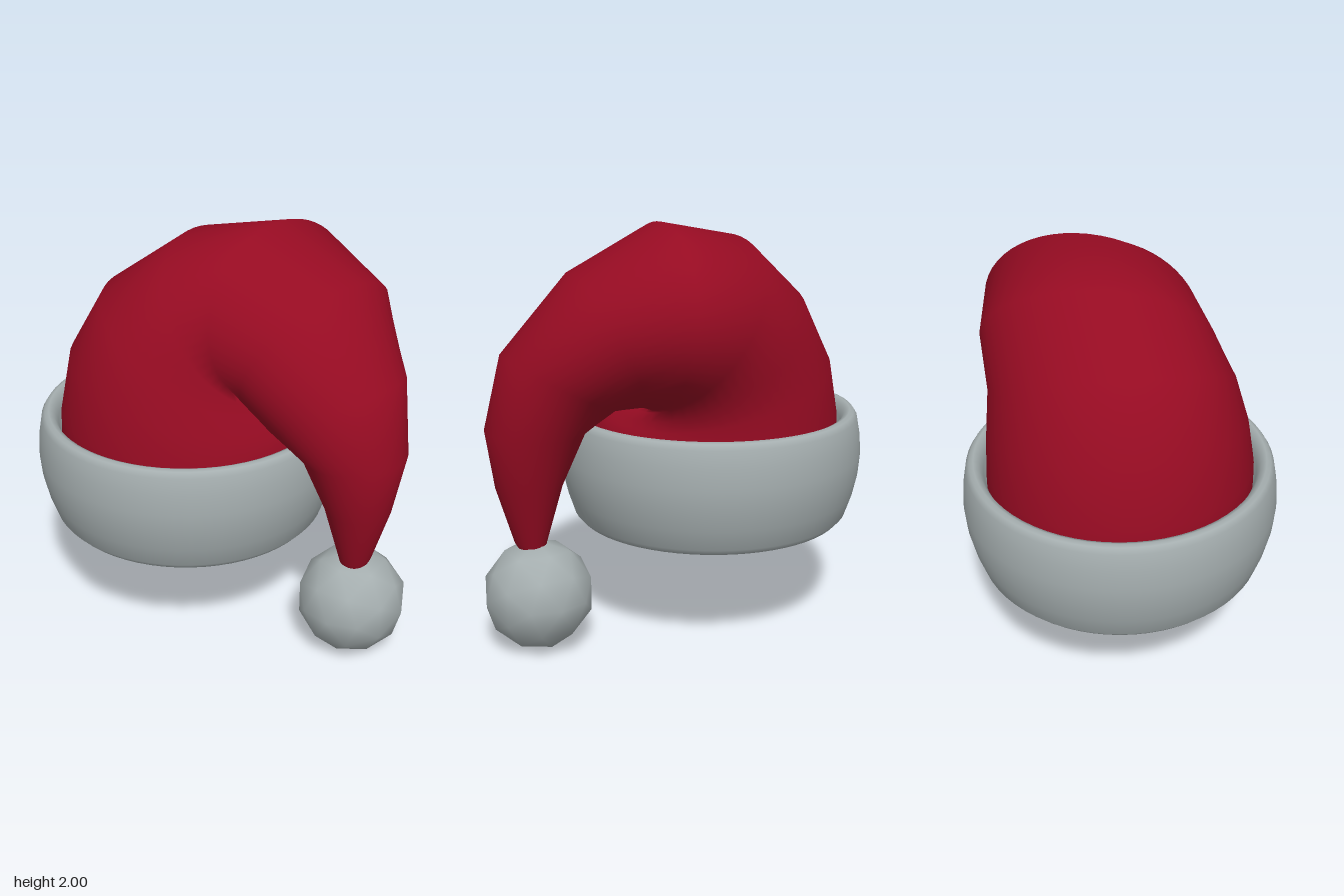
import * as THREE from 'three';

const red = new THREE.MeshStandardMaterial({ color: 0x960b22, side: THREE.DoubleSide });
red.name = 'red cloth';
const grey = new THREE.MeshStandardMaterial({ color: 0xa5aeaf });
grey.name = 'pale fur';

// Cross-sections along the folded cap, from the opening to the tip:
// outer x, y, inner x, y, centre z, half width, sideways skew, upward skew
const RINGS = [
  [-0.84, 0.555, 0.38, 0.555, 0, 0.61, 0, 0],
  [-0.858, 0.95, 0.398, 0.95, 0, 0.628, 0, 0],
  [-0.85, 1.07, 0.385, 1.03, 0, 0.625, 0, 0.02],
  [-0.79, 1.36, 0.36, 1.08, -0.015, 0.605, 0, 0.08],
  [-0.61, 1.67, 0.325, 1.12, -0.05, 0.57, 0, 0.12],
  [-0.27, 1.92, 0.285, 1.15, -0.13, 0.55, 0, 0.05],
  [0.15, 2.0, 0.25, 1.16, -0.18, 0.53, 0.16, 0],
  [0.57, 1.79, 0.25, 1.16, -0.11, 0.45, 0.24, 0],
  [0.86, 1.42, 0.32, 1.13, 0.01, 0.325, 0.15, 0],
  [0.935, 1.07, 0.465, 1.05, 0.035, 0.25, 0.05, 0],
  [0.89, 0.79, 0.58, 0.8, 0.045, 0.165, 0, 0],
  [0.81, 0.52, 0.66, 0.52, 0.045, 0.085, 0, 0],
  [0.78, 0.46, 0.67, 0.46, 0.04, 0.06, 0, 0],
];

// Skin closed loops through the cross-sections
function capGeometry(sides = 56) {
  const positions = [], index = [];
  RINGS.forEach(([ox, oy, ix, iy, z, w, sx, sy], i) => {
    const cx = (ox + ix) / 2, cy = (oy + iy) / 2;
    for (let j = 0; j < sides; j++) {
      const a = (j / sides) * Math.PI * 2;
      const c = Math.cos(a), s = Math.sin(a) * w;
      positions.push(cx + (ox - cx) * c - sx * s, cy + (oy - cy) * c + sy * s, z + s);
      if (i === RINGS.length - 1) continue;
      const p = i * sides + j, q = i * sides + (j + 1) % sides;
      index.push(p, q, p + sides, q, q + sides, p + sides);
    }
  });
  const geometry = new THREE.BufferGeometry();
  geometry.setAttribute('position', new THREE.Float32BufferAttribute(positions, 3));
  geometry.setIndex(index);
  geometry.computeVertexNormals();
  return geometry;
}

export function createModel() {
  const group = new THREE.Group();
  const add = (name, geometry, material, x = 0, y = 0, z = 0) => {
    const mesh = new THREE.Mesh(geometry, material);
    mesh.name = name;
    mesh.position.set(x, y, z);
    group.add(mesh);
  };

  // Floppy cap, open underneath
  add('cap', capGeometry(), red);

  // Rounded brim around the opening, a closed profile turned about its axis
  const profile = [
    [0.617, 0.545], [0.63, 0.53], [0.655, 0.53], [0.682, 0.56], [0.715, 0.66], [0.737, 0.76],
    [0.745, 0.86], [0.737, 0.96], [0.722, 1.04], [0.705, 1.066], [0.685, 1.072],
    [0.66, 1.06], [0.64, 1.02], [0.625, 0.94], [0.6, 0.88], [0.593, 0.75],
    [0.597, 0.65], [0.62, 0.59], [0.617, 0.545],
  ].map(([r, y]) => new THREE.Vector2(r, y));
  add('brim', new THREE.LatheGeometry(profile, 64), grey, -0.23);

  // Ball hanging from the tip
  const ball = new THREE.IcosahedronGeometry(0.264, 1).rotateY(Math.PI / 2);
  add('pompom', ball, grey, 0.715, 0.264, 0.017);

  return group;
}
